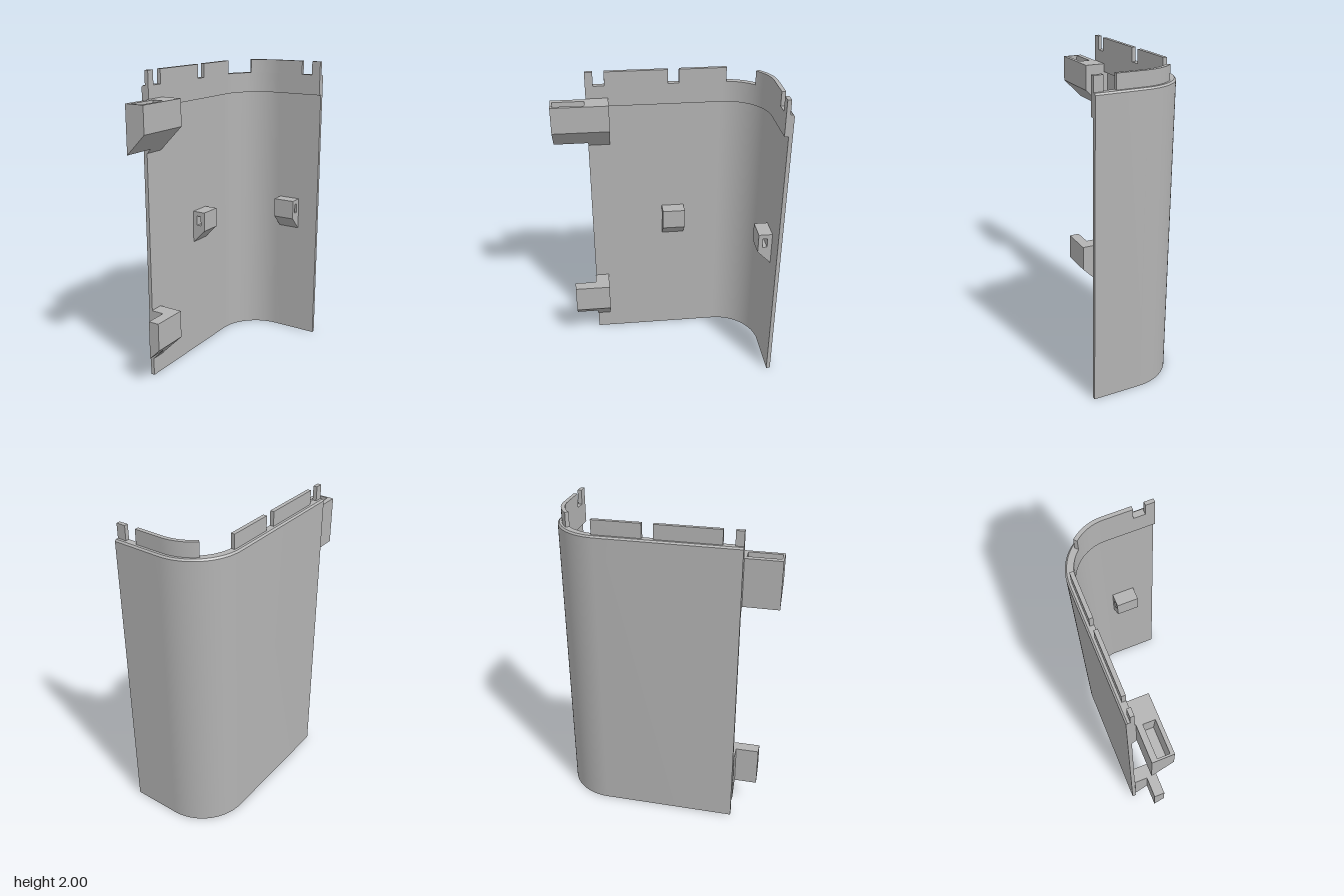
import * as THREE from 'three';
import { toCreasedNormals } from 'three/addons/utils/BufferGeometryUtils.js';

const R = 0.315, CZ = -0.385; // outer corner radius and its centre in z

// Plan path: t < 0 side wall, 0..1 rounded corner, t > 1 back wall; o = inward offset
function pathPoint(t, o, y) {
  if (t < 0) return [-R + o, y, CZ - t];
  if (t > 1) return [t - 1, y, CZ - R + o];
  const a = t * Math.PI / 2;
  return [-(R - o) * Math.cos(a), y, CZ - (R - o) * Math.sin(a)];
}

// Sweep a convex section of [offset, height] points along the path from t0 to t1
function sweep(section, t0, t1) {
  const ts = [t0];
  for (let i = 0; i <= 24; i++) if (i / 24 > t0 && i / 24 < t1) ts.push(i / 24);
  ts.push(t1);
  const rings = ts.map(t => section.map(([o, y]) => pathPoint(t, o, y)));
  const pos = [], n = section.length;
  const tri = (a, b, c) => pos.push(...a, ...b, ...c);
  for (let i = 0; i + 1 < rings.length; i++) {
    for (let j = 0; j < n; j++) {
      const k = (j + 1) % n, p = rings[i], q = rings[i + 1];
      tri(p[j], p[k], q[k]);
      tri(p[j], q[k], q[j]);
    }
  }
  const first = rings[0], last = rings[rings.length - 1];
  for (let j = 1; j + 1 < n; j++) {
    tri(first[0], first[j + 1], first[j]);
    tri(last[0], last[j], last[j + 1]);
  }
  const g = new THREE.BufferGeometry();
  g.setAttribute('position', new THREE.Float32BufferAttribute(pos, 3));
  return toCreasedNormals(g, 0.5);
}

// Extrude an x-y outline from z0 to z1, with an optional hole outline
function prism(points, z0, z1, hole) {
  const toV = p => new THREE.Vector2(p[0], p[1]);
  const shape = new THREE.Shape(points.map(toV));
  if (hole) shape.holes.push(new THREE.Path(hole.map(toV)));
  const g = new THREE.ExtrudeGeometry(shape, { depth: z1 - z0, bevelEnabled: false });
  return g.translate(0, 0, z0);
}

const band = (y0, y1) => [[0.025, y0], [0.025, y1], [0.05, y1], [0.05, y0]];

export function createModel() {
  const model = new THREE.Group();
  model.name = 'cornerPanel';
  const grey = new THREE.MeshStandardMaterial({ color: 0xb3b3b3 });
  grey.name = 'grey';
  const add = (name, geometry, parent = model) => {
    const mesh = new THREE.Mesh(geometry, grey);
    mesh.name = name;
    parent.add(mesh);
    return mesh;
  };

  // Outer skin with a small chamfer along its top edge
  const skin = [[0, 0], [0, 1.9], [0.01, 1.91], [0.025, 1.91], [0.025, 0]];
  add('panelSkin', sweep(skin, -0.865, 1.315));

  // Thicker inner rim and the tabs rising from it
  add('innerRim', sweep(band(1.775, 1.91), -0.865, 1.315));
  const tabs = [[-0.865, -0.815], [-0.745, -0.345], [-0.275, 0.06], [0.52, 1.18], [1.255, 1.315]];
  tabs.forEach(([a, b], i) => add('topTab' + (i + 1), sweep(band(1.91, 2), a, b)));

  // Upper bracket: root on the wall, then an arm with a slot open at the top
  const upper = new THREE.Group();
  upper.name = 'upperBracket';
  model.add(upper);
  const root = [[-0.29, 1.5], [-0.13, 1.66], [-0.13, 1.83], [-0.265, 1.83], [-0.265, 1.775], [-0.29, 1.775]];
  const arm = [[-0.26, 1.53], [-0.13, 1.66], [-0.13, 1.83], [-0.26, 1.83]];
  const slotted = [[-0.26, 1.53], [-0.13, 1.66], [-0.13, 1.83], [-0.153, 1.83], [-0.163, 1.7],
    [-0.215, 1.7], [-0.225, 1.83], [-0.26, 1.83]];
  add('bracketRoot', prism(root, 0.34, 0.48), upper);
  add('bracketNeck', prism(arm, 0.48, 0.49), upper);
  add('bracketSlot', prism(slotted, 0.49, 0.69), upper);
  add('bracketEnd', prism(arm, 0.69, 0.702), upper);

  // Lower bracket: root on the wall and a narrower hooked arm
  const lower = new THREE.Group();
  lower.name = 'lowerBracket';
  model.add(lower);
  add('hookRoot', prism([[-0.29, 0.12], [-0.127, 0.283], [-0.127, 0.467], [-0.29, 0.467]], 0.39, 0.485), lower);
  add('hookArm', prism([[-0.2, 0.21], [-0.127, 0.283], [-0.127, 0.467], [-0.2, 0.467]], 0.485, 0.63), lower);

  // Two small lugs with a rectangular through hole
  const lug = prism([[0, 0.8], [0.09, 0.89], [0.09, 1.02], [0, 1.02]], 0, 0.15,
    [[0.03, 0.925], [0.03, 0.99], [0.06, 0.99], [0.06, 0.925]]);
  add('sideLug', lug).position.set(-0.29, 0, -0.15);
  const backLug = add('backLug', lug);
  backLug.rotation.y = -Math.PI / 2;
  backLug.position.set(0.17, 0, -0.675);

  return model;
}
